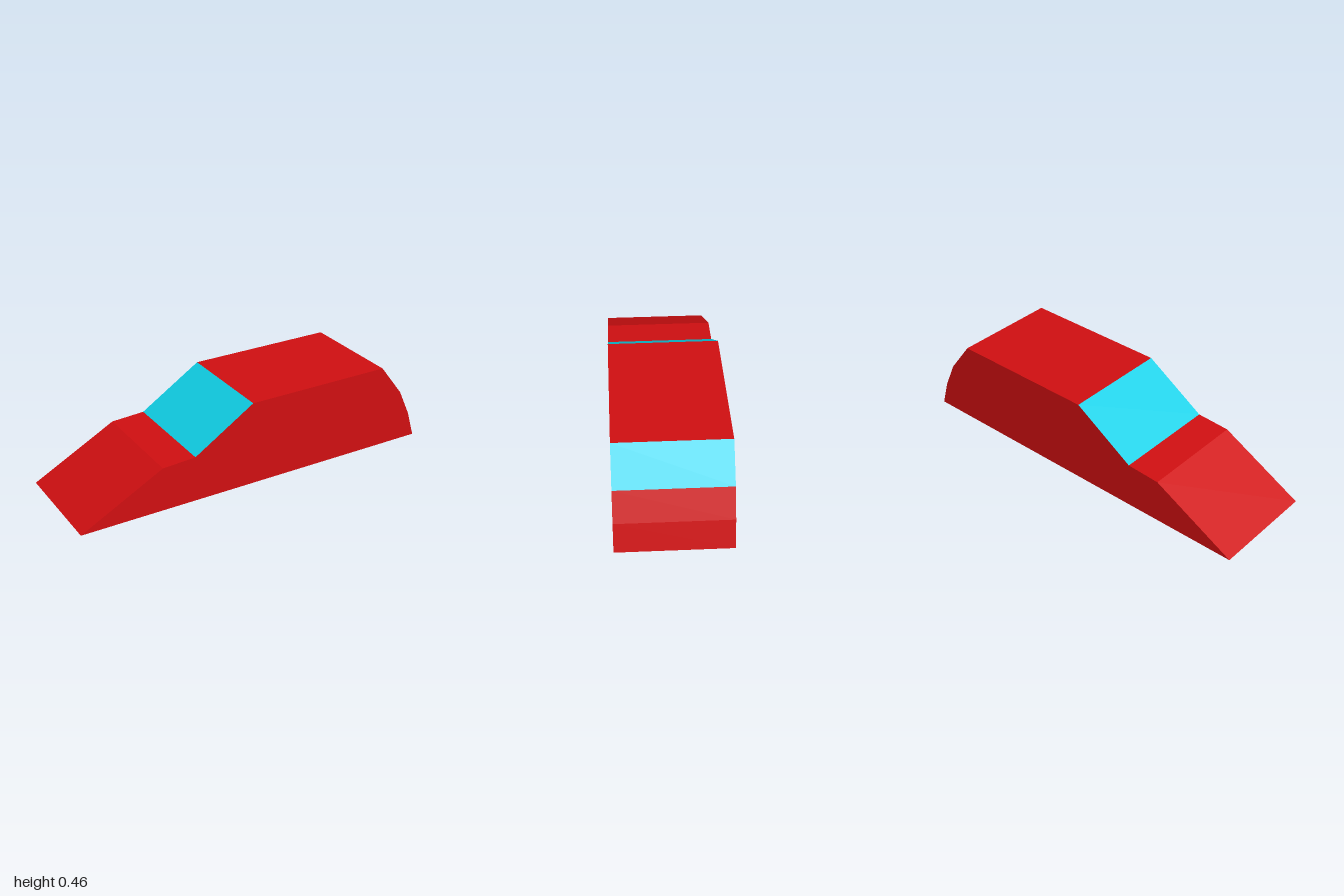
import * as THREE from 'three';

const HALF_WIDTH = 0.285;

export function createModel() {
  const red = new THREE.MeshStandardMaterial({ color: 0xd00f11 });
  red.name = 'red paint';
  const glass = new THREE.MeshStandardMaterial({ color: 0x10d0e6 });
  glass.name = 'cyan glass';
  const dark = new THREE.MeshStandardMaterial({ color: 0x404040 });
  dark.name = 'dark underside';

  const car = new THREE.Group();
  car.name = 'wedgeCar';
  const add = (name, geometry, material) => {
    const mesh = new THREE.Mesh(geometry, material);
    mesh.name = name;
    car.add(mesh);
    return mesh;
  };

  // Side profile from nose to tail; each point starts the named panel
  const profile = [
    [-1, 0, 'nose', red],
    [-0.555, 0.236, 'hood', red],
    [-0.375, 0.246, 'windshield', glass],
    [-0.045, 0.457, 'roof', red],
    [0.757, 0.457, 'rearWindow', glass],
    [0.89, 0.284, 'upperTail', red],
    [0.957, 0.14, 'lowerTail', red],
    [1, 0, 'underside', dark],
  ];

  // Flat panels spanning the full width
  profile.forEach(([x0, y0, name, material], i) => {
    const [x1, y1] = profile[(i + 1) % profile.length];
    const panel = new THREE.PlaneGeometry(Math.hypot(x1 - x0, y1 - y0), HALF_WIDTH * 2);
    panel.rotateX(-Math.PI / 2);
    panel.rotateZ(Math.atan2(y1 - y0, x1 - x0));
    panel.translate((x0 + x1) / 2, (y0 + y1) / 2, 0);
    add(name, panel, material);
  });

  // Body sides, front and back
  const outline = new THREE.Shape(profile.map(([x, y]) => new THREE.Vector2(x, y)));
  add('frontSide', new THREE.ShapeGeometry(outline).translate(0, 0, HALF_WIDTH), red);
  const mirrored = new THREE.Shape(profile.map(([x, y]) => new THREE.Vector2(-x, y)));
  add('backSide', new THREE.ShapeGeometry(mirrored).rotateY(Math.PI).translate(0, 0, -HALF_WIDTH), red);

  return car;
}
